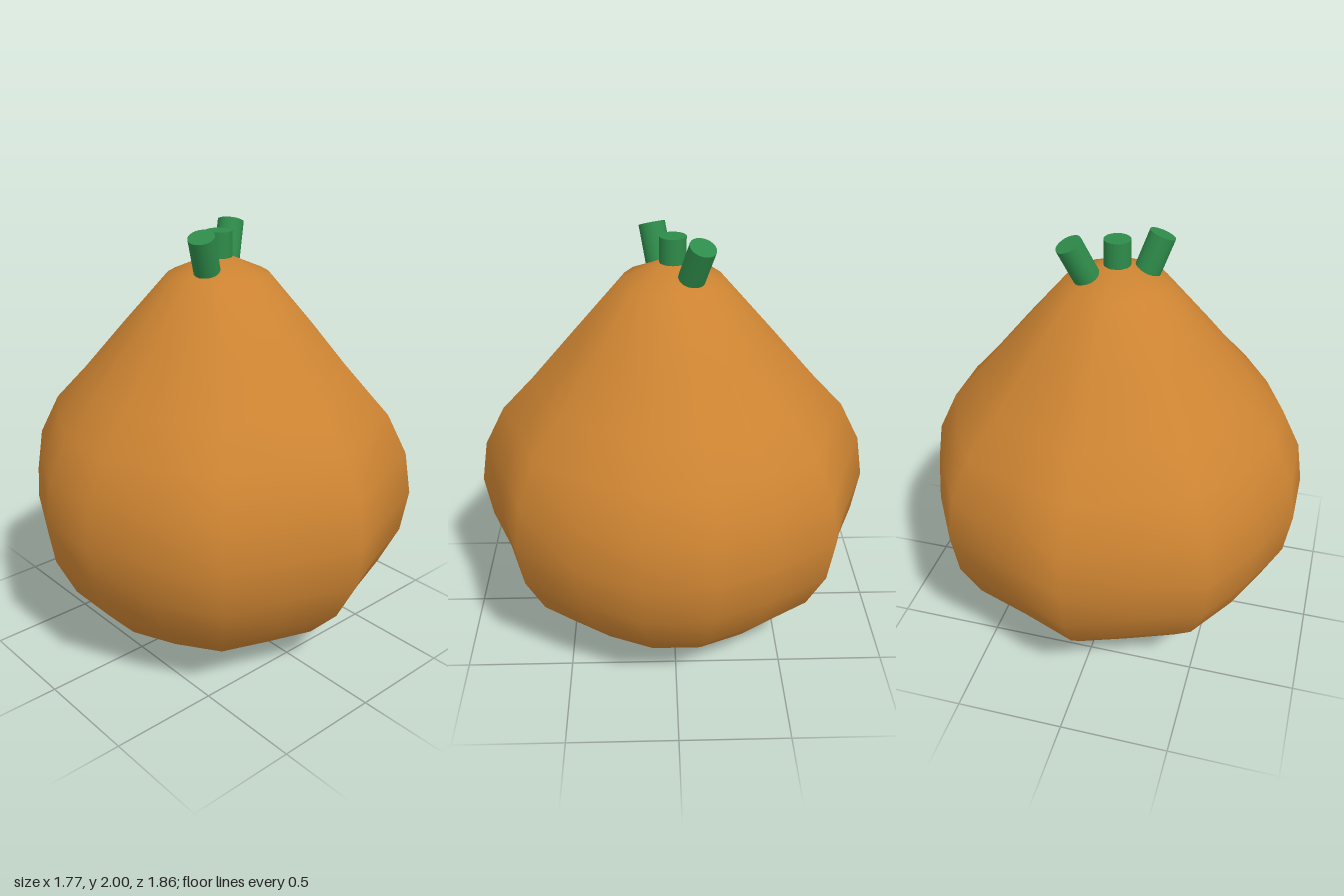
import * as THREE from 'three';
import { mergeVertices } from 'three/addons/utils/BufferGeometryUtils.js';

const orange = new THREE.MeshStandardMaterial({ color: 0xcd8432 });
const brown = new THREE.MeshStandardMaterial({ color: 0xa9662c });
const green = new THREE.MeshStandardMaterial({ color: 0x2e8b4a });

function addMesh(group, name, geometry, material) {
  const mesh = new THREE.Mesh(geometry, material);
  mesh.name = name;
  group.add(mesh);
  return mesh;
}

// Coarse sphere with eight soft ribs, a drawn-up neck and a flat underside
function bodyGeometry() {
  const sphere = new THREE.SphereGeometry(1, 18, 12).rotateY(Math.PI / 2);
  sphere.deleteAttribute('uv');
  sphere.deleteAttribute('normal');
  const geometry = mergeVertices(sphere, 1e-4);
  const p = geometry.attributes.position;
  for (let i = 0; i < p.count; i++) {
    const x = p.getX(i), z = p.getZ(i);
    const ring = Math.hypot(x, z);
    const rib = 0.891 * (1 + 0.044 * ring * Math.cos(8 * Math.atan2(x, z)));
    let y = 0.78 * p.getY(i);
    const neck = Math.max(0, y - 0.555);
    y += 7 * Math.pow(neck, 2);
    p.setXYZ(i, x * rib, Math.min(1.88, Math.max(0.08, 0.75 + y)), z * rib);
  }
  geometry.computeVertexNormals();
  return geometry;
}

// Closed cylinder running between two points
function addStem(group, name, from, to) {
  const a = new THREE.Vector3(...from), b = new THREE.Vector3(...to);
  const axis = b.clone().sub(a);
  const stem = addMesh(group, name, new THREE.CylinderGeometry(0.06, 0.06, axis.length(), 24), green);
  stem.position.copy(a).add(b).multiplyScalar(0.5);
  stem.quaternion.setFromUnitVectors(new THREE.Vector3(0, 1, 0), axis.normalize());
}

export function createModel() {
  const model = new THREE.Group();
  model.name = 'gourd';

  addMesh(model, 'body', bodyGeometry(), orange);

  // Round foot with a slightly eased lower edge
  const foot = [[0, 0], [0.222, 0], [0.222, 0], [0.231, 0.004], [0.235, 0.013], [0.235, 0.013], [0.235, 0.09]];
  addMesh(model, 'foot', new THREE.LatheGeometry(foot.map(([x, y]) => new THREE.Vector2(x, y)), 32), brown);

  // Three short stems on the crown
  addStem(model, 'centreStem', [0, 1.83, 0], [0, 1.97, 0]);
  addStem(model, 'leftStem', [0.112, 1.805, -0.075], [0.18, 1.975, -0.122]);
  addStem(model, 'rightStem', [-0.117, 1.805, 0.058], [-0.178, 1.975, 0.09]);

  return model;
}
